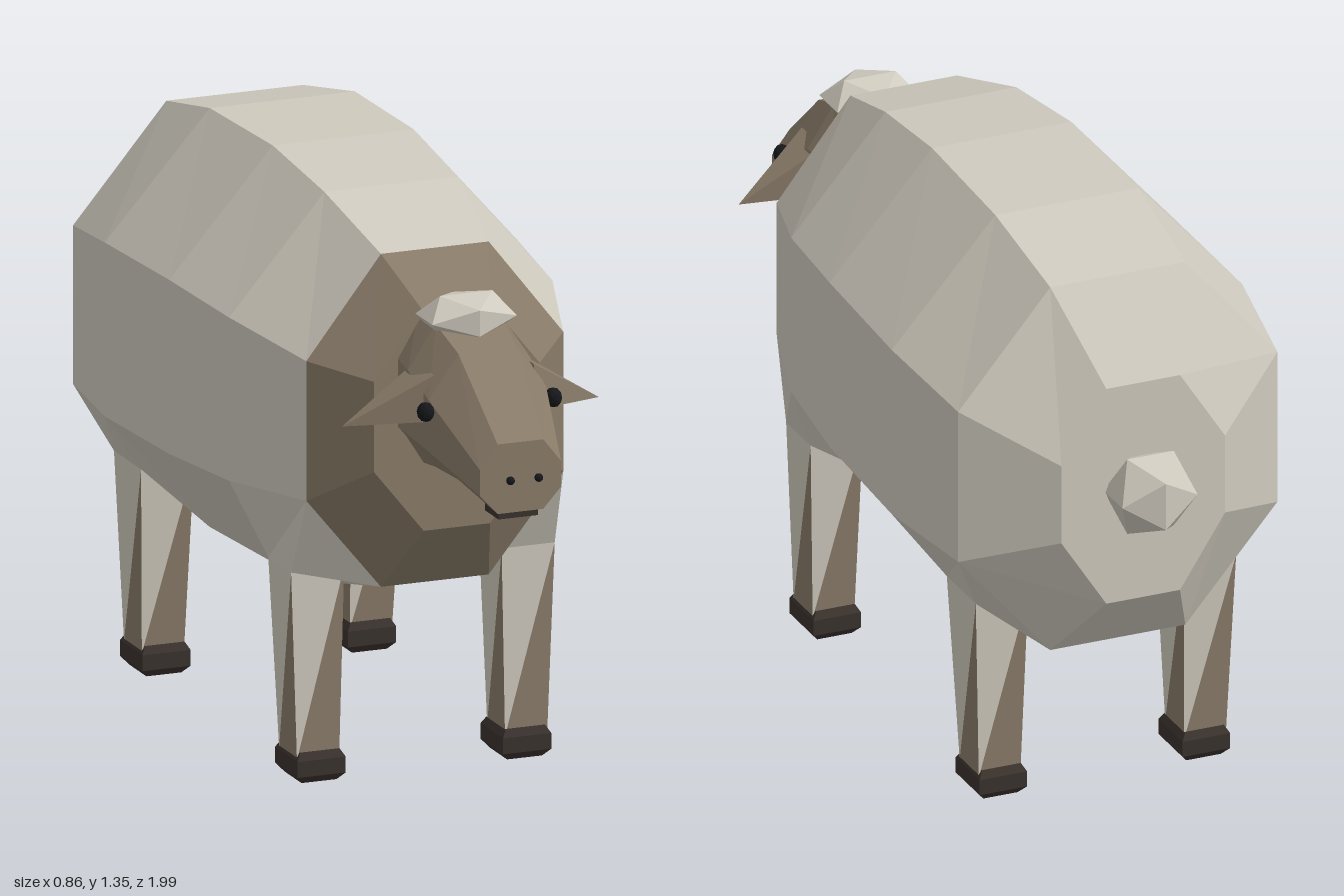
import * as THREE from 'three';

const mat = (color) => new THREE.MeshStandardMaterial({ color, flatShading: true, roughness: 1 });
const wool = mat(0xcfcabe), skin = mat(0x8a7c69), hoofMat = mat(0x3a322d), black = mat(0x15171a);

function addMesh(parent, name, geometry, material) {
  const mesh = new THREE.Mesh(geometry, material);
  mesh.name = name;
  parent.add(mesh);
  return mesh;
}

// Triangles between successive rings, split into the two halves of each quad.
function loftHalves(rings) {
  const lower = [], upper = [];
  for (let i = 0; i < rings.length - 1; i++) {
    const n = rings[i].length;
    for (let j = 0; j < n; j++) {
      const k = (j + 1) % n;
      lower.push(rings[i][j], rings[i][k], rings[i + 1][k]);
      upper.push(rings[i][j], rings[i + 1][k], rings[i + 1][j]);
    }
  }
  return { lower, upper };
}

function toGeometry(points) {
  const g = new THREE.BufferGeometry();
  g.setAttribute('position', new THREE.Float32BufferAttribute(points.flat(), 3));
  g.computeVertexNormals();
  return g;
}

function loft(rings, capStart, capEnd) {
  const { lower, upper } = loftHalves(rings);
  const tris = [...lower, ...upper];
  const first = rings[0], last = rings[rings.length - 1];
  for (let j = 1; j < first.length - 1; j++) {
    if (capStart) tris.push(first[0], first[j + 1], first[j]);
    if (capEnd) tris.push(last[0], last[j], last[j + 1]);
  }
  return toGeometry(tris);
}

// Eight-sided section across z: side half width, top half width, four heights.
const octagon = ([z, w, t, bottom, low, high, top]) => [
  [w, low, z], [w, high, z], [t, top, z], [-t, top, z],
  [-w, high, z], [-w, low, z], [-t, bottom, z], [t, bottom, z],
];

// Four-sided level section of a leg or hoof.
const square = (y, x0, x1, z0, z1) => [[x1, y, z1], [x1, y, z0], [x0, y, z0], [x0, y, z1]];

const mirrorRing = (ring) => ring.map(([x, y, z]) => [-x, y, z]).reverse();

export function createModel() {
  const model = new THREE.Group();
  model.name = 'sheep';

  // Body
  const sections = [
    [-0.86, 0.2, 0.09, 0.54, 0.71, 0.9, 1.07],
    [-0.72, 0.39, 0.165, 0.38, 0.64, 1.01, 1.275],
    [-0.44, 0.428, 0.175, 0.36, 0.645, 1.05, 1.335],
    [-0.08, 0.42, 0.17, 0.375, 0.655, 1.06, 1.345],
    [0.2, 0.39, 0.16, 0.405, 0.665, 1.045, 1.312],
    [0.46, 0.31, 0.13, 0.46, 0.68, 1.005, 1.235],
    [0.59, 0.2, 0.08, 0.62, 0.77, 0.98, 1.13],
  ].map(octagon);
  addMesh(model, 'fleece', loft(sections.slice(0, 6), true, false), wool);
  addMesh(model, 'neck', loft(sections.slice(5), false, true), skin);

  // Tail
  const tail = addMesh(model, 'tail', new THREE.IcosahedronGeometry(0.108, 0), wool);
  tail.position.set(0, 0.815, -0.9);
  tail.scale.set(1, 1, 0.93);

  // Head
  const head = new THREE.Group();
  head.name = 'head';
  model.add(head);
  addMesh(head, 'skull', loft([
    [0.56, 0.14, 0.08, 0.775, 0.87, 1.03, 1.13],
    [0.66, 0.147, 0.08, 0.788, 0.87, 1.02, 1.12],
    [0.77, 0.142, 0.07, 0.787, 0.86, 0.98, 1.08],
    [0.965, 0.098, 0.055, 0.758, 0.805, 0.865, 0.92],
  ].map(octagon), true, true), skin);

  const tuft = addMesh(head, 'foreheadTuft', new THREE.IcosahedronGeometry(0.1, 0), wool);
  tuft.position.set(0, 1.13, 0.645);
  tuft.scale.set(1.2, 0.58, 0.95);

  const mouth = addMesh(head, 'mouth', new THREE.BoxGeometry(0.095, 0.018, 0.08), hoofMat);
  mouth.position.set(0, 0.75, 0.912);

  for (const s of [1, -1]) {
    const side = s > 0 ? 'left' : 'right';

    // Ear: tapering from a square root to a point
    const root = [[0.12, 0.91, 0.64], [0.12, 1.03, 0.635], [0.12, 1.03, 0.75], [0.12, 0.925, 0.76]];
    const tip = root.map(() => [0.31, 0.91, 0.67]);
    const ear = [root, tip].map((r) => (s > 0 ? r : mirrorRing(r)));
    addMesh(head, side + 'Ear', loft(ear, true, false), skin);

    const eye = addMesh(head, side + 'Eye', new THREE.IcosahedronGeometry(0.023, 1), black);
    eye.position.set(s * 0.154, 0.957, 0.782);
    eye.scale.x = 0.85;

    const nostril = addMesh(head, side + 'Nostril', new THREE.IcosahedronGeometry(0.01, 1), black);
    nostril.position.set(s * 0.034, 0.84, 0.99);

    // Legs: flared out of the body panel, then tapering to the hoof
    for (const front of [true, false]) {
      const name = side + (front ? 'Front' : 'Back');
      const [b, f] = front ? [sections[4], sections[5]] : [sections[1], sections[2]];
      const [t0, t1] = front ? [0.255, 0.39] : [-0.655, -0.495];
      const [z0, z1] = front ? [0.28, 0.385] : [-0.635, -0.53];
      const place = (ring) => (s > 0 ? ring : mirrorRing(ring));

      const knee = square(0.495, 0.19, 0.318, t0, t1);
      const hip = [f[0], b[0], b[7], f[7]];
      addMesh(model, name + 'Thigh', loft([place(knee), place(hip)], false, false), wool);

      const ankle = square(0.055, 0.2, 0.302, z0, z1);
      const shin = loftHalves([place(ankle), place(knee)]);
      addMesh(model, name + 'ShinSkin', toGeometry(shin.lower), skin);
      addMesh(model, name + 'ShinWool', toGeometry(shin.upper), wool);

      const hoof = [[0, 0.012], [0.018, -0.004], [0.055, -0.004], [0.072, 0.006]].map(([y, d]) =>
        place(square(y, 0.194 + d, 0.302 - d, z0 - 0.01 + d, z1 + 0.01 - d)));
      addMesh(model, name + 'Hoof', loft(hoof, true, true), hoofMat);
    }
  }
  return model;
}
